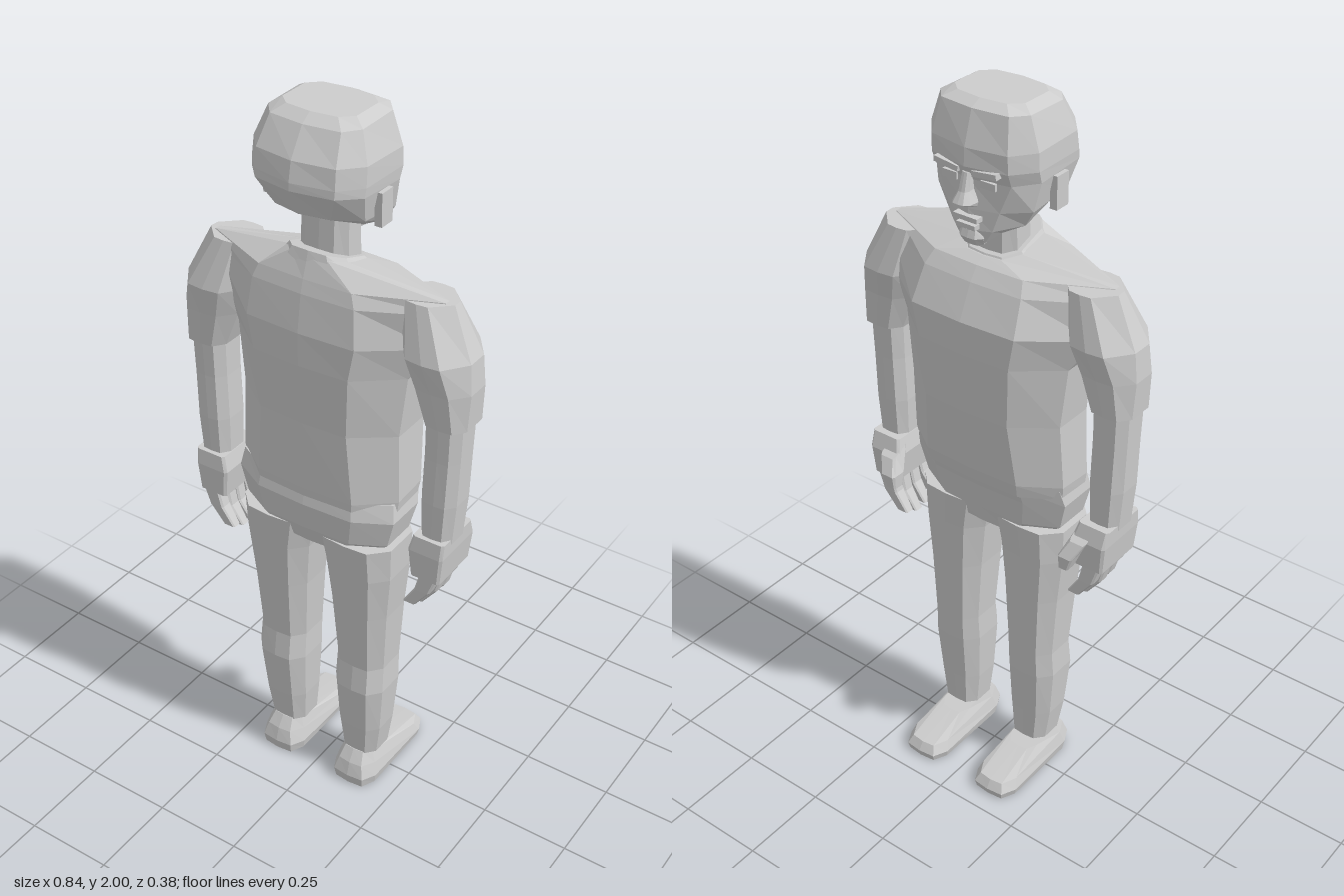
import * as THREE from 'three';

const skin = new THREE.MeshStandardMaterial({ color: 0xcccccc, flatShading: true });
skin.name = 'lightGrey';

// Skin a stack of ten-sided rings, listed from bottom to top.
// ring: [yAtBack, yAtFront, centreX, halfWidth, zBack, zFront, cornerX, cornerZ, cornerDepth]
function loft(name, rings, tilt = 0) {
  const pos = [], index = [], n = 10;
  rings.forEach(([yb, yf, cx, rx, zb, zf, kx = 0.6, kz = 0.5, c = 0.95]) => {
    const cz = (zb + zf) / 2, rz = (zb - zf) / 2;
    const outline = [[1, kz], [kx, c], [0, 1], [-kx, c], [-1, kz],
      [-1, -kz], [-kx, -c], [0, -1], [kx, -c], [1, -kz]];
    for (const [u, v] of outline) {
      pos.push(cx + u * rx, yf + (yb - yf) * (v + 1) / 2 + tilt * u, cz + v * rz);
    }
  });
  for (let i = 0; i < rings.length - 1; i++) {
    for (let j = 0; j < n; j++) {
      const a = i * n + j, b = i * n + (j + 1) % n;
      index.push(a, a + n, b + n, a, b + n, b);
    }
  }
  const top = (rings.length - 1) * n;
  for (let j = 1; j < n - 1; j++) {
    index.push(0, j, j + 1, top, top + j + 1, top + j);
  }
  const geo = new THREE.BufferGeometry();
  geo.setAttribute('position', new THREE.Float32BufferAttribute(pos, 3));
  geo.setIndex(index);
  return finish(name, geo.toNonIndexed());
}

function finish(name, geo) {
  geo.computeVertexNormals();
  const mesh = new THREE.Mesh(geo, skin);
  mesh.name = name;
  return mesh;
}

function box(name, w, h, d, x, y, z, rz = 0, rx = 0) {
  const mesh = finish(name, new THREE.BoxGeometry(w, h, d));
  mesh.position.set(x, y, z);
  mesh.rotation.set(rx, 0, rz);
  return mesh;
}

function makeHead() {
  const head = new THREE.Group();
  head.name = 'head';
  head.add(
    loft('skull', [
      [1.755, 1.655, 0, 0.06, 0.08, -0.092, 0.6, 0.5, 0.9],
      [1.755, 1.69, 0, 0.115, 0.125, -0.1, 0.5, 0.4, 0.86],
      [1.77, 1.745, 0, 0.14, 0.155, -0.1, 0.55, 0.5, 0.86],
      [1.84, 1.82, 0, 0.155, 0.19, -0.1, 0.7, 0.5, 0.86],
      [1.86, 1.855, 0, 0.157, 0.19, -0.115, 0.7, 0.5, 0.86],
      [1.91, 1.9, 0, 0.155, 0.18, -0.112, 0.7, 0.5, 0.88],
      [1.98, 1.985, 0, 0.128, 0.135, -0.085, 0.75, 0.55, 0.9],
      [2.0, 2.0, 0, 0.1, 0.105, -0.055, 0.7, 0.55, 0.9],
    ]),
    loft('nose', [
      [1.75, 1.762, 0, 0.022, -0.08, -0.12],
      [1.765, 1.77, 0, 0.026, -0.08, -0.14],
      [1.8, 1.795, 0, 0.015, -0.08, -0.125],
      [1.845, 1.84, 0, 0.012, -0.08, -0.112],
    ]),
    box('upperLip', 0.07, 0.012, 0.03, 0, 1.725, -0.098),
    box('lowerLip', 0.055, 0.012, 0.03, 0, 1.704, -0.096),
    loft('chin', [
      [1.66, 1.65, 0, 0.03, -0.04, -0.092],
      [1.675, 1.672, 0, 0.036, -0.04, -0.106],
      [1.69, 1.69, 0, 0.03, -0.04, -0.1],
    ]),
  );
  for (const s of [1, -1]) {
    head.add(
      box('ear', 0.02, 0.085, 0.045, s * 0.156, 1.785, 0.04),
      box('eyebrow', 0.07, 0.014, 0.03, s * 0.055, 1.846, -0.098, s * 0.12),
      box('eye', 0.042, 0.018, 0.009, s * 0.055, 1.815, -0.094),
    );
  }
  return head;
}

function makeArm(s) {
  const arm = new THREE.Group();
  arm.name = s > 0 ? 'leftArm' : 'rightArm';
  arm.add(
    loft('sleeve', [
      [1.28, 1.28, s * 0.355, 0.06, 0.1, -0.04, 0.6, 0.5],
      [1.38, 1.38, s * 0.338, 0.082, 0.11, -0.05, 0.55, 0.4],
      [1.46, 1.46, s * 0.318, 0.094, 0.125, -0.07, 0.5, 0.3],
      [1.59, 1.585, s * 0.275, 0.075, 0.085, -0.04, 0.4, 0.2],
    ]),
    loft('forearm', [
      [0.93, 0.93, s * 0.342, 0.044, 0.088, -0.02],
      [1.05, 1.05, s * 0.346, 0.05, 0.092, -0.025],
      [1.18, 1.18, s * 0.35, 0.05, 0.09, -0.025],
      [1.3, 1.3, s * 0.352, 0.052, 0.092, -0.028],
    ]),
    loft('palm', [
      [0.82, 0.82, s * 0.334, 0.042, 0.102, -0.05, 0.85, 0.92, 1],
      [0.9, 0.9, s * 0.334, 0.05, 0.105, -0.055, 0.85, 0.92, 1],
      [0.945, 0.945, s * 0.34, 0.045, 0.1, -0.04, 0.85, 0.9, 1],
    ]),
    loft('thumb', [
      [0.82, 0.82, s * 0.285, 0.014, -0.055, -0.09, 0.8, 0.7, 1],
      [0.86, 0.86, s * 0.292, 0.022, -0.045, -0.095, 0.8, 0.7, 1],
      [0.93, 0.9, s * 0.312, 0.024, -0.01, -0.07, 0.8, 0.7, 1],
    ]),
  );
  // Four curled fingers
  [0.722, 0.705, 0.7, 0.715].forEach((tip, i) => {
    const z = 0.101 - i * 0.038;
    arm.add(loft('finger', [
      [tip, tip, s * 0.288, 0.018, z - 0.004, z - 0.031, 0.8, 0.7, 1],
      [tip + 0.055, tip + 0.055, s * 0.326, 0.022, z, z - 0.035, 0.8, 0.7, 1],
      [0.83, 0.83, s * 0.343, 0.025, z, z - 0.036, 0.8, 0.7, 1],
    ]));
  });
  return arm;
}

function makeLeg(s) {
  const leg = new THREE.Group();
  leg.name = s > 0 ? 'leftLeg' : 'rightLeg';
  leg.add(
    loft('trouserLeg', [
      [0.1, 0.1, s * 0.122, 0.055, 0.092, -0.025],
      [0.2, 0.2, s * 0.125, 0.067, 0.105, -0.03],
      [0.35, 0.35, s * 0.128, 0.076, 0.12, -0.042],
      [0.43, 0.43, s * 0.127, 0.074, 0.11, -0.045],
      [0.62, 0.62, s * 0.127, 0.086, 0.125, -0.05],
      [0.76, 0.76, s * 0.127, 0.1, 0.138, -0.055],
      [0.86, 0.86, s * 0.118, 0.112, 0.145, -0.06],
    ]),
    loft('shoe', [
      [0, 0, s * 0.123, 0.062, 0.125, -0.19, 0.7, 0.72, 0.97],
      [0.03, 0.02, s * 0.123, 0.067, 0.13, -0.195, 0.7, 0.72, 0.97],
      [0.07, 0.045, s * 0.123, 0.057, 0.118, -0.18, 0.65, 0.7, 0.97],
      [0.105, 0.075, s * 0.122, 0.045, 0.095, -0.05, 0.65, 0.6],
    ]),
  );
  return leg;
}

export function createModel() {
  const figure = new THREE.Group();
  figure.name = 'standingFigure';
  figure.add(
    makeHead(),
    loft('neck', [
      [1.58, 1.57, 0, 0.07, 0.08, -0.03],
      [1.77, 1.74, 0, 0.066, 0.068, -0.025],
    ]),
    loft('collar', [
      [1.62, 1.575, 0, 0.11, 0.13, -0.055],
      [1.66, 1.605, 0, 0.08, 0.118, -0.04],
    ]),
    // Shirt widens into the shoulders, then closes at the neck
    loft('shirt', [
      [0.955, 0.98, 0, 0.232, 0.148, -0.095, 0.6, 0.4],
      [1.0, 1.02, 0, 0.238, 0.152, -0.105, 0.6, 0.4],
      [1.2, 1.2, 0, 0.232, 0.156, -0.125, 0.55, 0.4],
      [1.37, 1.37, 0, 0.25, 0.165, -0.135, 0.55, 0.35],
      [1.46, 1.46, 0, 0.31, 0.165, -0.137, 0.5, 0.2],
      [1.56, 1.55, 0, 0.345, 0.15, -0.095, 0.42, 0.08],
      [1.595, 1.585, 0, 0.33, 0.14, -0.07, 0.4, 0.08],
      [1.65, 1.6, 0, 0.085, 0.12, -0.045],
    ]),
    loft('hips', [
      [0.82, 0.82, 0, 0.15, 0.13, -0.05],
      [0.87, 0.87, 0, 0.218, 0.145, -0.06],
      [0.95, 0.95, 0, 0.238, 0.155, -0.075],
      [1.0, 1.0, 0, 0.23, 0.145, -0.09],
    ]),
  );
  for (const s of [1, -1]) figure.add(makeArm(s), makeLeg(s));
  return figure;
}
